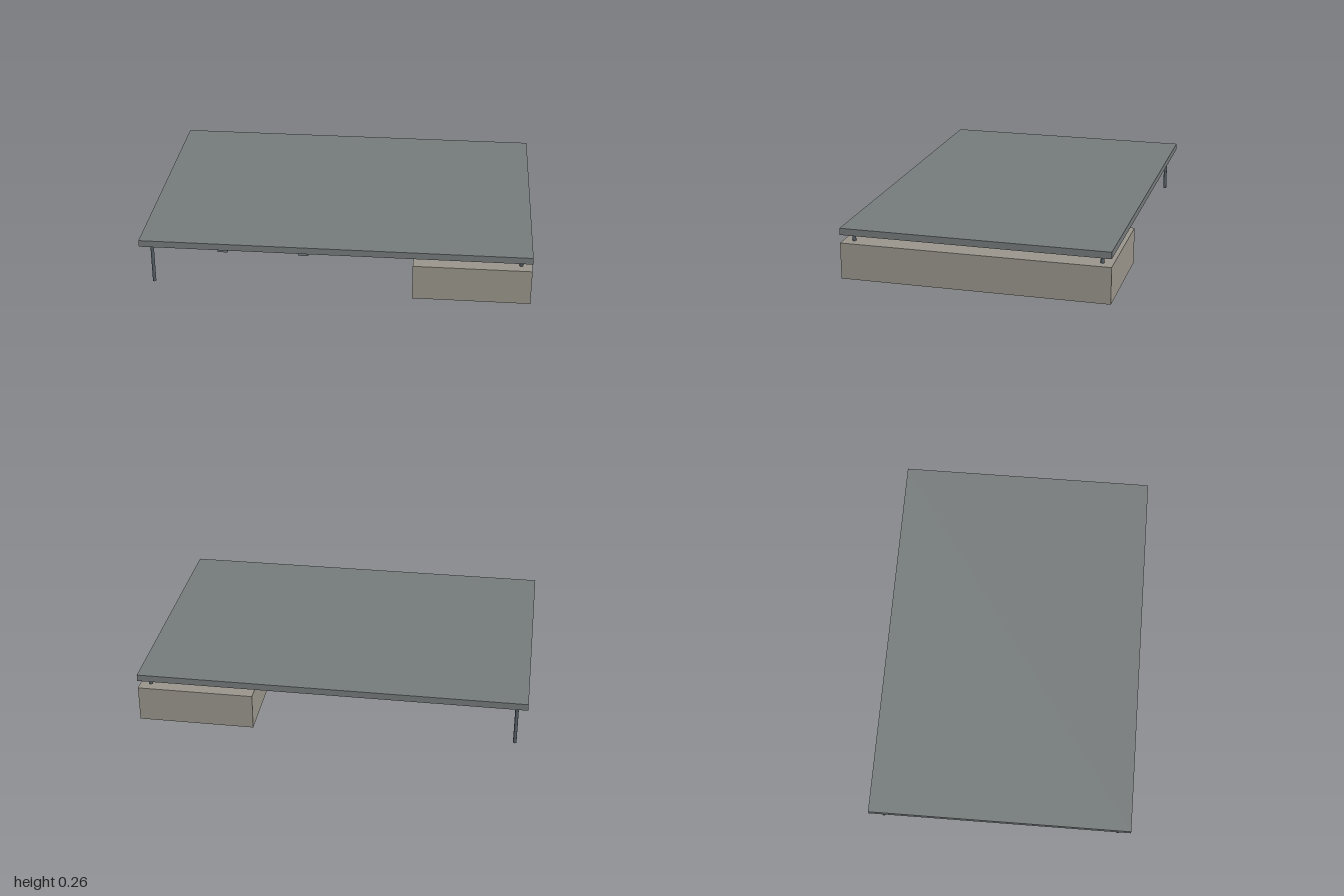
import * as THREE from 'three';

export function createModel() {
  const model = new THREE.Group();
  const material = (color) => new THREE.MeshStandardMaterial({ color });
  const roofMat = material(0x757a7b);
  const buildingMat = material(0x99958b);
  const postMat = material(0x555f66);
  const pumpMat = material(0x727a80);

  // Place a part by its centre in x and z and the height of its underside
  function add(name, geometry, mat, x, bottom, z) {
    geometry.computeBoundingBox();
    const mesh = new THREE.Mesh(geometry, mat);
    mesh.name = name;
    mesh.position.set(x, bottom - geometry.boundingBox.min.y, z);
    model.add(mesh);
  }

  // Flat canopy over everything
  add('canopyRoof', new THREE.BoxGeometry(2, 0.035, 1.37), roofMat, 0, 0.23, 0);

  // Long low building under one end
  add('building', new THREE.BoxGeometry(0.6, 0.188, 1.37), buildingMat, 0.7, 0, 0);

  for (const side of [-1, 1]) {
    // Slim round posts: full height at the open end, short on the building
    const z = side * 0.63;
    add('tallPost', new THREE.CylinderGeometry(0.009, 0.009, 0.23, 12), postMat, -0.945, 0, z);
    add('shortPost', new THREE.CylinderGeometry(0.009, 0.009, 0.042, 12), postMat, 0.945, 0.188, z);

    // Two rows of small box pedestals
    for (const x of [-0.645, -0.205]) {
      add('pedestal', new THREE.BoxGeometry(0.055, 0.088, 0.055), pumpMat, x, 0, side * 0.275);
    }
  }

  return model;
}
